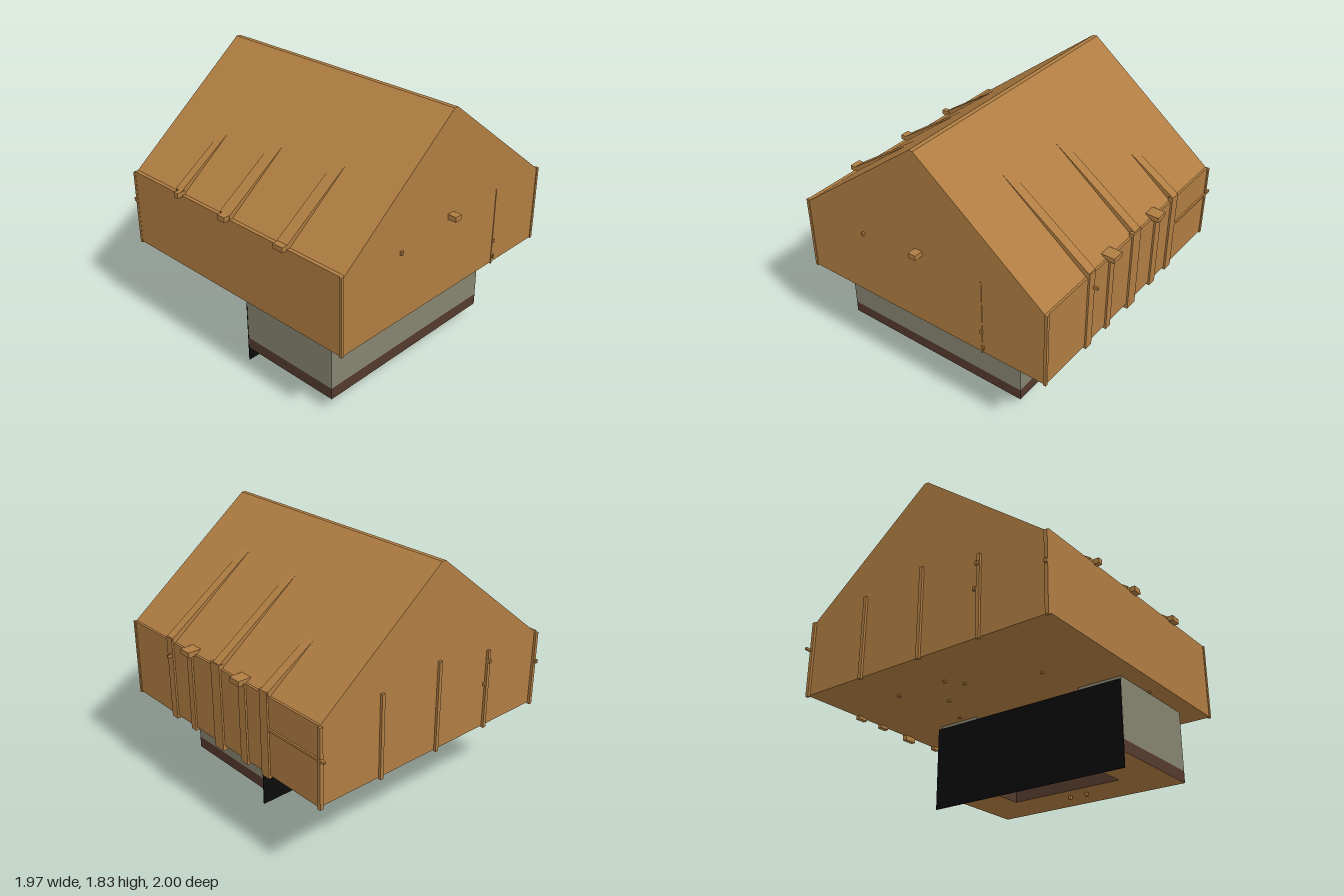
import * as THREE from 'three';

const material = (name, color) => {
  const m = new THREE.MeshStandardMaterial({ color });
  m.name = name;
  return m;
};

export function createModel() {
  const model = new THREE.Group();
  model.name = 'gabledBuilding';
  const wood = material('wood', 0xb07d42);
  const grey = material('greyPlaster', 0x85836f);
  const brown = material('darkBrown', 0x543a2d);
  const black = material('black', 0x0b0b0b);
  black.side = THREE.DoubleSide;

  const add = (name, geometry, mat) => {
    const mesh = new THREE.Mesh(geometry, mat);
    mesh.name = name;
    model.add(mesh);
    return mesh;
  };
  // Box given by its limits on each axis
  const box = (name, x0, x1, y0, y1, z0, z1, mat = wood) => {
    const mesh = add(name, new THREE.BoxGeometry(x1 - x0, y1 - y0, z1 - z0), mat);
    mesh.position.set((x0 + x1) / 2, (y0 + y1) / 2, (z0 + z1) / 2);
  };
  const shape = (points) => new THREE.Shape(points.map(([x, y]) => new THREE.Vector2(x, y)));
  // Front profile pulled along z
  const alongZ = (name, points, z0, z1) => {
    const g = new THREE.ExtrudeGeometry(shape(points), { depth: z1 - z0, bevelEnabled: false });
    add(name, g.translate(0, 0, z0), wood);
  };
  // Plan of [x, z] points pulled upwards
  const upwards = (name, plan, y0, y1, mats) => {
    const s = shape(plan.map(([x, z]) => [x, -z]));
    const g = new THREE.ExtrudeGeometry(s, { depth: y1 - y0, bevelEnabled: false });
    add(name, g.rotateX(-Math.PI / 2).translate(0, y0, 0), mats);
  };

  // Main house with gable roof
  alongZ('house', [
    [-0.955, 0.59], [0.935, 0.59], [0.935, 1.12], [0.92, 1.12], [0.005, 1.83],
    [-0.025, 1.83], [-0.93, 1.12], [-0.955, 1.12],
  ], -0.945, 0.94);

  // U-shaped foundation, open towards the back panel
  const plan = [
    [-0.83, -0.015], [-0.83, 0.74], [0.61, 0.74], [0.61, -0.015],
    [0.3, -0.015], [0.3, 0.43], [-0.52, 0.43], [-0.52, -0.015],
  ];
  upwards('foundationWall', plan, 0.18, 0.59, grey);
  upwards('foundationPlinth', plan, 0.1, 0.18, [wood, brown]);
  box('backPanel', -0.83, 0.63, 0, 0.57, -0.022, -0.017, black);

  // Tapered rafters lying on the roof: [z0, z1, upper end x]
  for (const [z0, z1, x] of [[0.465, 0.53, 0.3], [-0.04, 0.025, 0.33], [-0.51, -0.445, 0.6]]) {
    const y = 1.83 - 0.776 * (x - 0.005);
    alongZ('rightRafter', [[x, y], [0.94, 1.15], [0.94, 1.12], [0.92, 1.12]], z0, z1);
  }
  for (const [z0, z1, x] of [[0.425, 0.51, -0.46], [-0.08, 0.01, -0.5], [-0.51, -0.45, -0.55]]) {
    const y = 1.83 + 0.7845 * (x + 0.025);
    alongZ('leftRafter', [[x, y], [-0.95, 1.145], [-0.95, 1.12], [-0.93, 1.12]], z0, z1);
  }

  // Beam ends at the left eave and front gable
  for (const [z0, z1] of [[0.43, 0.51], [-0.06, 0.005], [-0.48, -0.445]])
    box('leftBeamEnd', -0.99, -0.925, 1.11, 1.145, z0, z1);
  box('frontBeamEnd', -0.03, 0.025, 1.11, 1.145, 0.93, 1);

  // Right wall pilasters: [z0, z1, bottom, top]
  for (const [z0, z1, y0, y1] of [
    [0.47, 0.53, 0.57, 1.15], [0.255, 0.305, 0.57, 1.12], [-0.045, 0.045, 0.555, 1.15],
    [-0.295, -0.23, 0.57, 1.12], [-0.505, -0.435, 0.57, 1.15],
  ]) box('rightPilaster', 0.915, 0.947, y0, y1, z0, z1);
  for (const z of [0.275, -0.24])
    box('rightBeamEnd', 0.88, 0.98, 1.11, 1.145, z - 0.045, z + 0.045);
  box('rightPeg', 0.93, 0.98, 1.02, 1.04, 0.475, 0.49);
  box('rightRail', 0.93, 0.947, 0.9, 0.915, -1, -0.5);

  // Thin posts on the back and front
  for (const [x, top] of [[0.46, 1.15], [-0.015, 1.2], [-0.465, 1.13], [-0.945, 1.11], [0.93, 1.11]])
    box('backPost', x - 0.012, x + 0.012, 0.58, top, -0.962, -0.94);
  box('frontPost', 0.465, 0.475, 0.58, 1.13, 0.935, 0.944);
  for (const x of [-0.95, 0.932])
    box('frontCornerPost', x - 0.01, x + 0.01, 0.585, 1.12, 0.925, 0.945);

  // Small knobs: [x, y, z]
  for (const [x, y, z] of [
    [-0.46, 1.06, 0.946], [0.47, 0.75, 0.942], [0.48, 0.63, 0.942],
    [-0.46, 1.06, -0.968], [-0.44, 0.9, -0.96], [-0.95, 0.9, -0.968],
    [-0.21, 0.085, 0.53], [-0.08, 0.085, 0.53],
    [-0.85, 0.587, 0.3], [-0.48, 0.587, -0.35], [0, 0.587, -0.5],
    [0.08, 0.587, -0.6], [0.26, 0.587, -0.35], [0.39, 0.587, -0.08], [0.46, 0.587, -0.6],
  ]) box('knob', x - 0.009, x + 0.009, y - 0.009, y + 0.015, z - 0.01, z + 0.01);

  return model;
}
